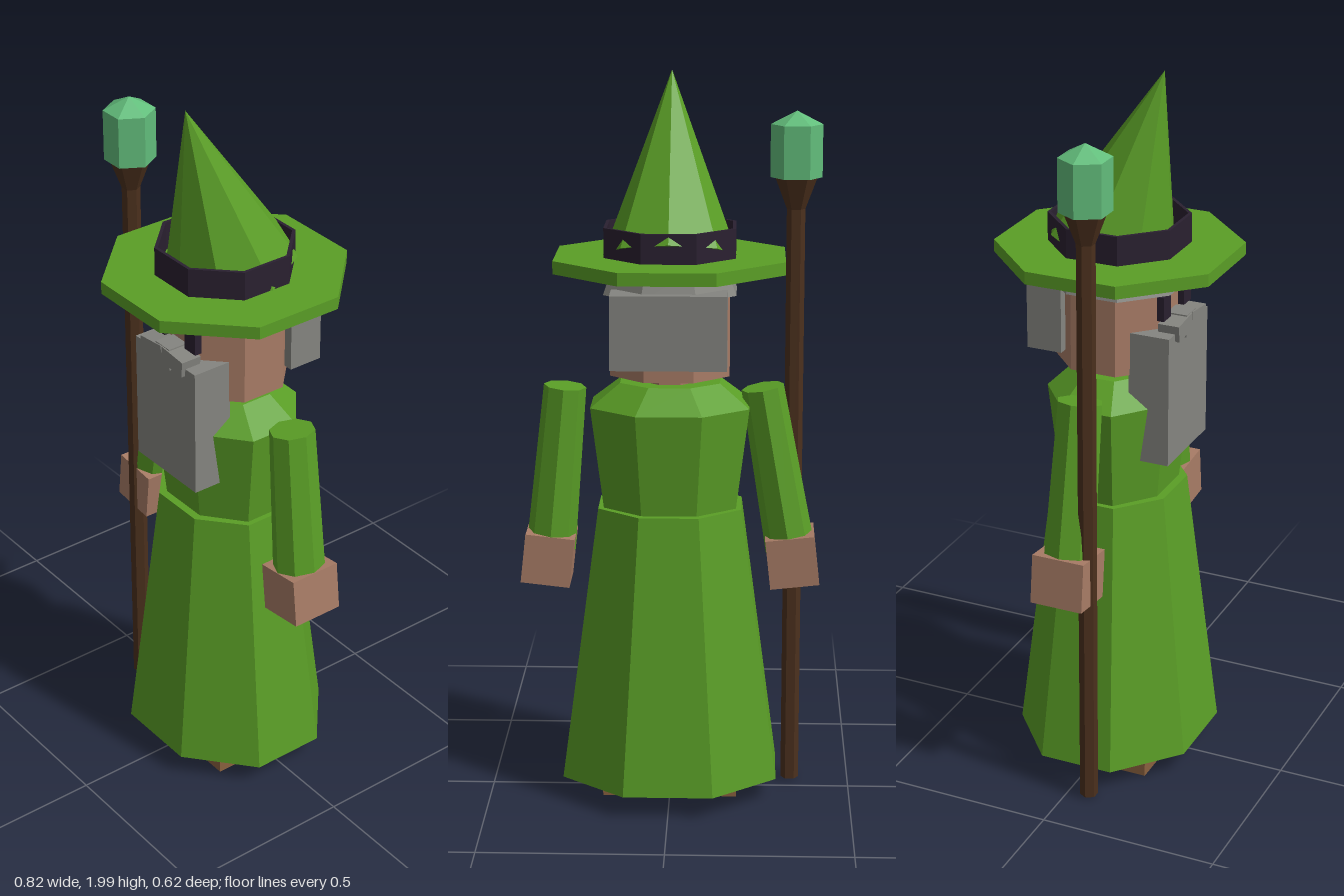
import * as THREE from 'three';

const mat = (name, color) => {
  const m = new THREE.MeshStandardMaterial({ color });
  m.name = name;
  m.flatShading = true;
  return m;
};

export function createModel() {
  const model = new THREE.Group();
  model.name = 'wizard';
  const green = mat('robe green', 0x5a9e26);
  const skin = mat('skin', 0xa87c66);
  const grey = mat('hair grey', 0x858580);
  const dark = mat('dark violet', 0x2a2030);
  const wood = mat('staff wood', 0x4b301d);
  const boot = mat('boot brown', 0x8a613f);
  const jade = mat('crystal green', 0x62bd7b);

  const add = (name, geo, material, x, y, z, parent = model) => {
    const m = new THREE.Mesh(geo, material);
    m.name = name;
    m.position.set(x, y, z);
    parent.add(m);
    return m;
  };
  // Box given by its limits on each axis
  const box = (name, material, x0, x1, y0, y1, z0, z1) => add(name,
    new THREE.BoxGeometry(x1 - x0, y1 - y0, z1 - z0), material,
    (x0 + x1) / 2, (y0 + y1) / 2, (z0 + z1) / 2);
  // Octagonal frustum with flat sides facing the axes, sized by its half widths
  const FLAT = Math.cos(Math.PI / 8);
  const octagon = (name, material, top, bottom, y0, y1, depth = 1, z = 0) => {
    const geo = new THREE.CylinderGeometry(top / FLAT, bottom / FLAT, y1 - y0, 8);
    geo.rotateY(Math.PI / 8).scale(1, 1, depth);
    return add(name, geo, material, 0, (y0 + y1) / 2, z);
  };

  // Robe
  octagon('skirt', green, 0.195, 0.295, 0.065, 0.83, 0.86);
  octagon('torso', green, 0.215, 0.18, 0.83, 1.11, 0.81);
  octagon('shoulders', green, 0.135, 0.215, 1.11, 1.175, 0.81);

  // Feet
  for (const s of [-1, 1]) {
    add(s > 0 ? 'leftFoot' : 'rightFoot', new THREE.BoxGeometry(0.167, 0.155, 0.25), boot,
      s * 0.102, 0.0825, 0.037);
  }

  // Arms with square hands
  const arm = (side, shoulderX, wristX) => {
    const a = new THREE.Vector3(shoulderX, 1.157, 0);
    const b = new THREE.Vector3(wristX, 0.7, 0);
    const dir = a.clone().sub(b);
    const sleeve = add(side + 'Arm', new THREE.CylinderGeometry(0.058, 0.068, dir.length(), 8),
      green, 0, 0, 0);
    sleeve.geometry.rotateY(Math.PI / 2).scale(1, 1, 1.1);
    sleeve.position.copy(a).add(b).multiplyScalar(0.5);
    sleeve.quaternion.setFromUnitVectors(new THREE.Vector3(0, 1, 0), dir.normalize());
    const hand = add(side + 'Hand', new THREE.BoxGeometry(0.135, 0.137, 0.15), skin,
      Math.sign(wristX) * 0.335, 0.68, 0);
    hand.rotation.z = Math.sign(wristX) * 0.11;
  };
  arm('left', 0.287, 0.33);
  arm('right', -0.25, -0.33);

  // Head
  octagon('neck', skin, 0.07, 0.07, 1.14, 1.21);
  octagon('head', skin, 0.16, 0.16, 1.2, 1.535, 0.97, -0.005);
  octagon('hairFringe', grey, 0.148, 0.178, 1.42, 1.5);
  box('backHair', grey, -0.155, 0.155, 1.24, 1.44, -0.2, -0.1);
  box('beard', grey, -0.13, 0.13, 0.955, 1.32, 0.085, 0.2);
  for (const s of [-1, 1]) {
    const side = s > 0 ? 'left' : 'right';
    add(side + 'Eye', new THREE.BoxGeometry(0.046, 0.067, 0.02), dark, s * 0.067, 1.383, 0.158);
    const half = add(side + 'Moustache', new THREE.BoxGeometry(0.09, 0.045, 0.06), grey,
      s * 0.045, 1.325, 0.182);
    half.rotation.z = -s * 0.1;
  }
  box('moustacheCentre', grey, -0.03, 0.03, 1.29, 1.353, 0.15, 0.208);

  // Hat: brim, open band and a cone leaning forward
  octagon('hatBrim', green, 0.308, 0.308, 1.485, 1.52);
  const ring = [[0.167, 1.515], [0.176, 1.515], [0.176, 1.6], [0.167, 1.6], [0.167, 1.515]]
    .map(([r, y]) => new THREE.Vector2(r / FLAT, y));
  add('hatBand', new THREE.LatheGeometry(ring, 8, Math.PI / 8), dark, 0, 0, 0);
  const cone = new THREE.ConeGeometry(0.18, 0.5, 8);
  cone.translate(0, 0.25, 0).rotateX(0.292);
  add('hatCone', cone, green, 0, 1.521, -0.018);

  // Staff
  const staff = new THREE.Group();
  staff.name = 'staff';
  staff.position.set(-0.336, 0, 0.06);
  model.add(staff);
  const stick = (name, material, top, bottom, y0, y1) => add(name,
    new THREE.CylinderGeometry(top, bottom, y1 - y0, 6).rotateY(Math.PI / 6),
    material, 0, (y0 + y1) / 2, 0, staff);
  stick('pole', wood, 0.025, 0.025, 0.01, 1.64);
  stick('socket', wood, 0.057, 0.025, 1.635, 1.72);
  stick('crystal', jade, 0.07, 0.07, 1.72, 1.862);
  stick('crystalTip', jade, 0, 0.07, 1.862, 1.898);

  return model;
}
